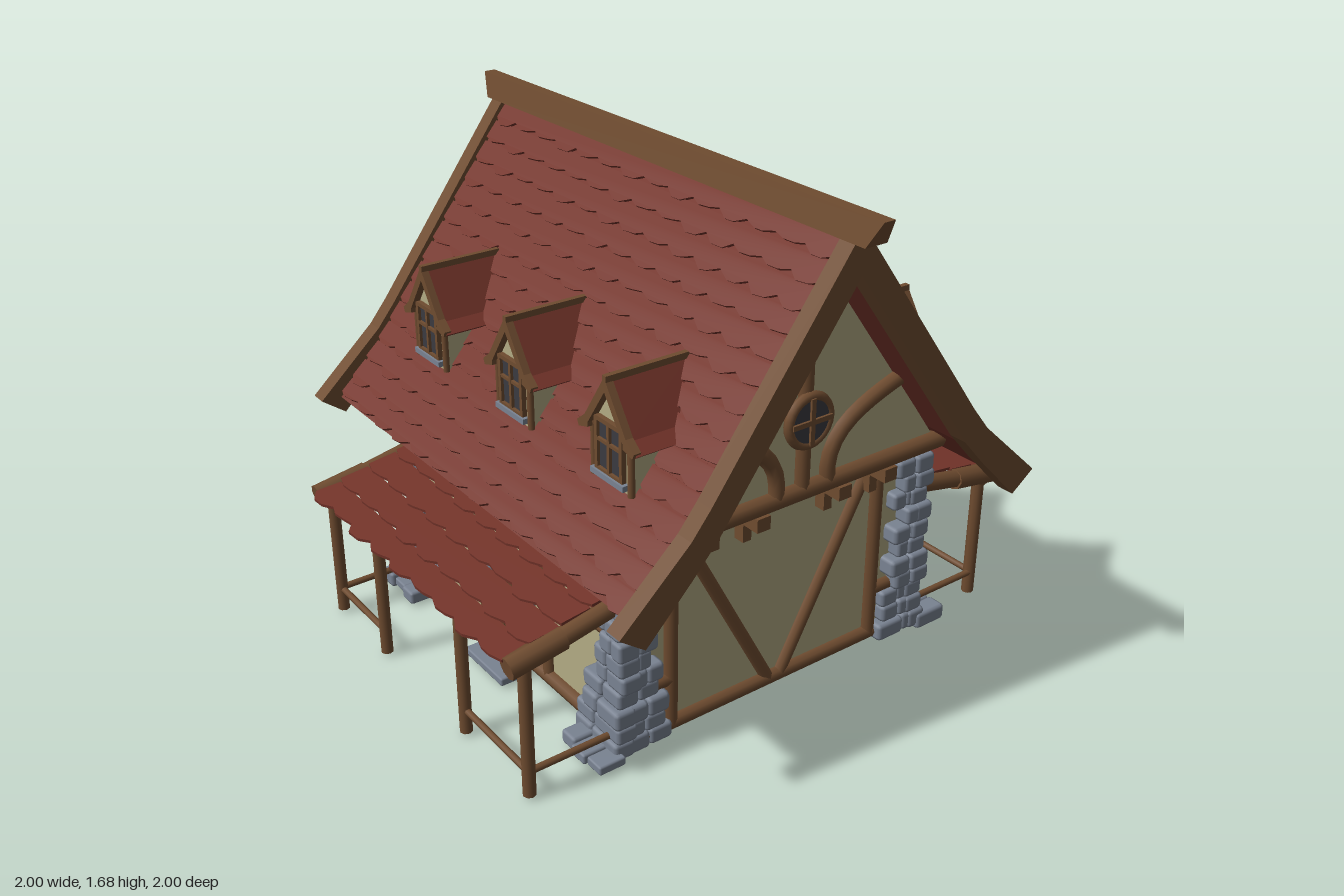
import * as THREE from 'three';
import { RoundedBoxGeometry } from 'three/addons/geometries/RoundedBoxGeometry.js';

const mat = (color, extra = {}) => new THREE.MeshStandardMaterial({ color, ...extra });
const wood = mat(0x6f4c30), plank = mat(0x64422a), tile = mat(0x74342a, { flatShading: true });
const plaster = mat(0xb3ab84, { side: THREE.DoubleSide });
const stone = mat(0x7a8392), glass = mat(0x3a3a40);

let seed = 7;
const rnd = (a, b) => {
  seed = (seed * 16807) % 2147483647;
  return a + (b - a) * (seed / 2147483647);
};

function add(parent, name, geo, material, x = 0, y = 0, z = 0) {
  const m = new THREE.Mesh(geo, material);
  m.name = name;
  m.position.set(x, y, z);
  parent.add(m);
  return m;
}
function group(parent, name) {
  const g = new THREE.Group();
  g.name = name;
  parent.add(g);
  return g;
}
const box = (p, name, m, w, h, d, x, y, z) => add(p, name, new THREE.BoxGeometry(w, h, d), m, x, y, z);
const block = (p, name, w, h, d, x, y, z) =>
  add(p, name, new RoundedBoxGeometry(w, h, d, 1, Math.min(w, h, d) * 0.22), stone, x, y, z);

// Round timber between two points
function beam(p, name, a, b, r = 0.022) {
  const A = new THREE.Vector3(...a), B = new THREE.Vector3(...b), d = B.clone().sub(A);
  const m = add(p, name, new THREE.CylinderGeometry(r, r, d.length(), 8), wood);
  m.position.copy(A).add(B).multiplyScalar(0.5);
  m.quaternion.setFromUnitVectors(new THREE.Vector3(0, 1, 0), d.normalize());
}
const shape = pts => new THREE.Shape(pts.map(p => new THREE.Vector2(...p)));
const extrude = (pts, depth) => new THREE.ExtrudeGeometry(shape(pts), { depth, bevelEnabled: false });

// Symmetric chevron: outer half-profile from the apex down, then inner half-profile back up
function chevron(outer, inner) {
  const flip = l => l.slice(1).map(([u, v]) => [-u, v]).reverse();
  return [...flip(outer), ...outer, ...inner.slice().reverse(), ...flip(inner).reverse()];
}
// Extrude a (z, y) profile along x, centred
function alongX(pts, depth) {
  return extrude(pts, depth).translate(0, 0, -depth / 2).rotateY(Math.PI / 2);
}

// Row of pointed tiles laid from a to b, both (z, y)
function tileRow(p, width, a, b) {
  const dz = b[0] - a[0], dy = b[1] - a[1], len = Math.hypot(dz, dy);
  const pts = [[width / 2, 0], [-width / 2, 0]];
  const n = Math.round(width / 0.125), w = width / n;
  for (let i = 0; i < n; i++) {
    const x = -width / 2 + i * w, drop = -len - rnd(-0.008, 0.01);
    pts.push([x, -len + 0.018], [x + w * rnd(0.25, 0.4), drop], [x + w * rnd(0.6, 0.75), drop + rnd(0, 0.006)]);
  }
  pts.push([width / 2, -len + 0.018]);
  const geo = extrude(pts, 0.01).rotateX(Math.atan2(-dz, -dy));
  add(p, 'tileRow', geo, tile, 0, a[1], a[0]);
}
// Overlapping rows down a (z, y) polyline
function tiledSlope(p, width, line, rows) {
  const path = new THREE.CurvePath();
  for (let i = 1; i < line.length; i++)
    path.add(new THREE.LineCurve(new THREE.Vector2(...line[i - 1]), new THREE.Vector2(...line[i])));
  for (let i = 0; i < rows; i++) {
    const a = path.getPoint(i / rows), b = path.getPoint(Math.min(1, (i + 1.12) / rows));
    tileRow(p, width, [a.x, a.y - 0.007], [b.x, b.y + 0.002]);
  }
}

function dormer(parent, x) {
  const g = group(parent, 'dormer');
  g.position.x = x;
  add(g, 'dormerWall', extrude([[-0.09, 0.87], [0.09, 0.87], [0.09, 1.04], [0, 1.17], [-0.09, 1.04]], 0.27), plaster, 0, 0, 0.28);
  add(g, 'dormerRoof', extrude(chevron([[0, 1.2], [0.1, 1.05], [0.14, 1.02]], [[0, 1.17], [0.09, 1.04], [0.13, 1.012]]), 0.28), tile, 0, 0, 0.285);
  add(g, 'dormerBargeboard', extrude(chevron([[0, 1.21], [0.1, 1.06], [0.138, 1.03], [0.13, 1.012]], [[0, 1.165], [0.085, 1.04], [0.085, 1.025]]), 0.025), wood, 0, 0, 0.55);
  box(g, 'dormerRidge', wood, 0.018, 0.02, 0.29, 0, 1.205, 0.43);
  for (const s of [-1, 1]) {
    beam(g, 'dormerPost', [s * 0.09, 0.87, 0.55], [s * 0.09, 1.04, 0.55], 0.011);
    box(g, 'windowJamb', wood, 0.014, 0.17, 0.02, s * 0.06, 0.985, 0.556);
    box(g, 'windowRail', wood, 0.12, 0.014, 0.02, 0, 0.985 + s * 0.08, 0.556);
  }
  box(g, 'windowPane', glass, 0.12, 0.16, 0.01, 0, 0.985, 0.551);
  box(g, 'mullion', wood, 0.012, 0.16, 0.02, 0, 0.985, 0.556);
  box(g, 'transom', wood, 0.12, 0.01, 0.018, 0, 1.0, 0.556);
  box(g, 'windowSill', stone, 0.16, 0.018, 0.03, 0, 0.895, 0.558);
}

function door(parent) {
  const g = group(parent, 'door');
  for (let i = 0; i < 5; i++) box(g, 'doorPlank', plank, 0.031, 0.28, 0.02, (i - 2) * 0.033, 0.18, 0.585);
  for (const y of [0.09, 0.25]) box(g, 'doorStrap', wood, 0.16, 0.018, 0.012, 0, y, 0.6);
  add(g, 'doorRing', new THREE.TorusGeometry(0.014, 0.004, 6, 12), stone, 0, 0.2, 0.605);
  for (let i = 0; i < 7; i++)
    for (const s of [-1, 1]) block(g, 'doorStone', rnd(0.034, 0.044), 0.042, 0.085, s * 0.1, 0.05 + i * 0.044, 0.578);
  for (let i = 0; i < 5; i++) block(g, 'lintelStone', 0.045, 0.036, 0.085, (i - 2) * 0.046, 0.335, 0.578);
  block(g, 'upperStep', 0.2, 0.055, 0.07, 0, 0.028, 0.61);
  block(g, 'lowerStep', 0.23, 0.028, 0.1, 0, 0.014, 0.66);
}

function porch(parent, s) {
  const g = group(parent, 'porch');
  const posts = [-0.605, -0.283, 0.238, 0.602].map(x => x * s);
  posts.forEach(x => beam(g, 'porchPost', [x, 0, 0.91], [x, 0.45, 0.91], 0.021));
  beam(g, 'porchBeam', [-0.63, 0.452, 0.91], [0.62, 0.452, 0.91], 0.019);
  for (const [a, b] of [[0, 1], [2, 3]])
    beam(g, 'porchRail', [posts[a], 0.08, 0.91], [posts[b], 0.08, 0.91], 0.011);
  for (const x of [-0.608, 0.602]) {
    beam(g, 'sideRail', [x, 0.08, 0.6], [x, 0.08, 0.91], 0.011);
    beam(g, 'porchRafter', [x, 0.535, 0.57], [x, 0.488, 0.8], 0.03);
    beam(g, 'porchRafterEnd', [x, 0.49, 0.78], [x, 0.46, 0.965], 0.036);
  }
  for (const x of [-0.2, 0.2]) beam(g, 'innerRafter', [x, 0.52, 0.57], [x, 0.45, 0.92], 0.016);
  tiledSlope(g, 1.18, [[0.57, 0.56], [0.99, 0.474]], 4);
}

// Long side: wall framing, door, porch, roof slope and dormers
function longSide(parent, s) {
  const g = group(parent, s > 0 ? 'frontSide' : 'backSide');
  if (s < 0) g.rotation.y = Math.PI;
  const wall = group(g, 'wallFraming'), z = 0.575;
  wall.position.x = 0.013 * s;
  beam(wall, 'sillBeam', [-0.6, 0.035, z], [0.6, 0.035, z], 0.026);
  beam(wall, 'middleBeam', [-0.58, 0.39, z], [0.58, 0.39, z]);
  beam(wall, 'topPlate', [-0.6, 0.7, z], [0.6, 0.7, z]);
  for (const k of [-1, 1]) {
    beam(wall, 'wallPost', [k * 0.193, 0.03, z], [k * 0.193, 0.7, z]);
    beam(wall, 'wallBrace', [k * 0.59, 0.65, z], [k * 0.23, 0.4, z], 0.019);
  }
  door(wall);
  porch(wall, s);
  const roof = group(g, 'roofTiles');
  tiledSlope(roof, 1.74, [[0, 1.592], [0.55, 0.842], [0.727, 0.655]], 15);
  for (const x of [-0.498, 0.02, 0.54]) dormer(g, x * s);
}

// Gable end, built facing +x, its upper part jettied out
function gableEnd(parent, s) {
  const g = group(parent, s > 0 ? 'leftGable' : 'rightGable');
  if (s < 0) g.rotation.y = Math.PI;
  const x = 0.625, u = 0.72;
  add(g, 'gableWall', alongX([[-0.57, 0.74], [0.57, 0.74], [0, 1.54]], 0.1), plaster, 0.665);
  beam(g, 'sillBeam', [x, 0.035, -0.57], [x, 0.035, 0.57], 0.024);
  beam(g, 'jettyBeam', [u, 0.75, -0.58], [u, 0.75, 0.58], 0.03);
  beam(g, 'kingPost', [u, 0.75, 0], [u, 1.53, 0], 0.025);
  for (const k of [-1, 1]) {
    beam(g, 'gablePost', [x, 0.03, k * 0.41], [x, 0.72, k * 0.41], 0.024);
    beam(g, 'diagonalBrace', [x, 0.03, k * 0.02], [x, 0.66, k * 0.36]);
    beam(g, 'shortRail', [x, 0.2, k * 0.41], [x, 0.2, k * 0.58]);
    const curve = new THREE.CubicBezierCurve3(
      new THREE.Vector3(u, 1.02, k * 0.38), new THREE.Vector3(u, 0.97, k * 0.22),
      new THREE.Vector3(u, 0.92, k * 0.08), new THREE.Vector3(u, 0.76, k * 0.1));
    add(g, 'curvedBrace', new THREE.TubeGeometry(curve, 10, 0.027, 8), wood);
    for (const z of [0.16, 0.35]) {
      box(g, 'jettyBracket', wood, 0.14, 0.045, 0.05, 0.675, 0.7, k * z);
      box(g, 'bracketPeg', wood, 0.04, 0.075, 0.032, 0.65, 0.645, k * z);
    }
  }
  const w = group(g, 'roundWindow');
  w.position.set(u + 0.022, 0.99, 0);
  w.rotation.y = Math.PI / 2;
  add(w, 'windowRing', new THREE.TorusGeometry(0.077, 0.016, 8, 24), wood);
  add(w, 'windowPane', new THREE.CylinderGeometry(0.075, 0.075, 0.012, 24).rotateX(Math.PI / 2), glass, 0, 0, 0.006);
  box(w, 'verticalBar', wood, 0.016, 0.15, 0.016, 0, 0, 0.012);
  box(w, 'crossBar', wood, 0.15, 0.016, 0.016, 0, 0, 0.012);
}

// Tapering rough stone pier at one corner
function cornerPier(parent, sx, sz) {
  const g = group(parent, 'cornerStones');
  for (let i = 0; i < 12; i++) {
    const y = 0.035 + i * 0.06, flare = Math.max(0, 0.36 - y) * 0.22, long = i % 2 * 0.025;
    const w = 0.11 + long + flare * 1.5 + rnd(0, 0.02), d = 0.13 - long + flare + rnd(0, 0.02);
    const ox = 0.675 + rnd(-0.015, 0.008), oz = 0.625 + rnd(-0.01, 0.01) + flare * 0.2;
    const split = rnd(0.45, 0.65);
    // each course turns the corner with two stones per face
    for (const [from, to] of [[0, split], [split, 1]]) {
      const mid = (from + to) / 2, part = to - from, h = rnd(0.056, 0.066), inset = rnd(0, 0.01);
      block(g, 'frontStone', w * part, h, 0.075, sx * (ox - w * mid), y, sz * (oz - inset - 0.037));
      block(g, 'sideStone', 0.075, h, d * part, sx * (ox - inset - 0.037), y, sz * (oz - 0.01 - d * mid));
    }
  }
  for (let i = 0; i < 3; i++)
    block(g, 'footStone', 0.07, rnd(0.03, 0.06), rnd(0.08, 0.13), sx * (0.5 + i * 0.073), 0.02, sz * 0.66);
}

export function createModel() {
  const model = new THREE.Group();
  model.name = 'timberFramedHouse';
  const house = group(model, 'house');
  house.position.x = -0.013;

  // Thin plaster walls, open underneath, with the framing showing inside too
  for (const s of [-1, 1]) {
    box(house, 'longWall', plaster, 1.24, 0.73, 0.008, 0, 0.385, s * 0.569);
    box(house, 'endWall', plaster, 0.008, 0.73, 1.13, s * 0.617, 0.385, 0);
    longSide(house, s);
    gableEnd(house, s);
    for (const k of [-1, 1]) cornerPier(house, s, k);
  }

  // Roof deck, rake beams and ridge
  const deck = chevron([[0, 1.59], [0.55, 0.84], [0.727, 0.652]], [[0, 1.525], [0.525, 0.805], [0.71, 0.635]]);
  add(house, 'roofDeck', alongX(deck, 1.74), tile);
  const rake = chevron([[0, 1.63], [0.5, 0.95], [0.565, 0.87], [0.8, 0.655]],
    [[0, 1.49], [0.47, 0.85], [0.56, 0.75], [0.715, 0.592]]);
  for (const s of [-1, 1]) add(house, 'rakeBeam', alongX(rake, 0.06), wood, s * 0.893);
  const ridge = extrude([[-0.955, 1.59], [0.955, 1.59], [1, 1.67], [-1, 1.67]], 0.08).translate(0, 0, -0.04);
  const p = ridge.attributes.position;
  for (let i = 0; i < p.count; i++) if (p.getY(i) > 1.63) p.setZ(i, p.getZ(i) * 0.5);
  ridge.computeVertexNormals();
  add(model, 'ridgeBeam', ridge, wood);

  // Purlin ends showing beyond one gable
  for (let i = -3; i <= 3; i++) {
    const z = Math.abs(i) * 0.145;
    box(house, 'purlin', wood, 0.3, 0.07, 0.07, -0.792, 1.495 - z * 1.37, Math.sign(i) * z);
  }
  return model;
}
